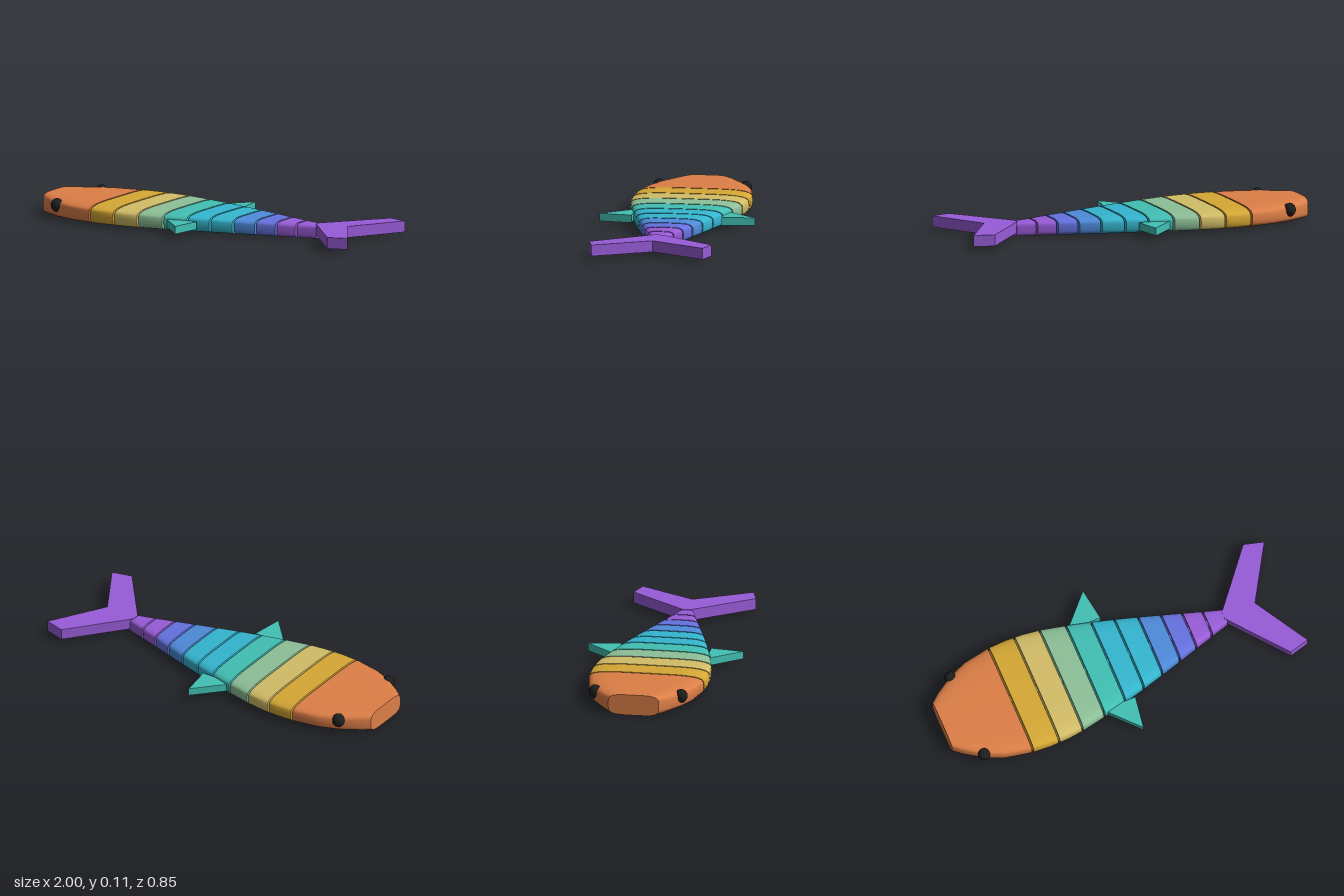
import * as THREE from 'three';
import { mergeGeometries } from 'three/addons/utils/BufferGeometryUtils.js';

const mat = (name, color) => {
  const m = new THREE.MeshStandardMaterial({ color });
  m.name = name;
  return m;
};

// Half width and top height of the body along x
const WIDTH = [[-1, 0.138], [-0.95, 0.18], [-0.85, 0.246], [-0.75, 0.287], [-0.605, 0.315], [-0.5, 0.321],
  [-0.4, 0.317], [-0.3, 0.304], [-0.17, 0.276], [-0.037, 0.243], [0.085, 0.21], [0.208, 0.174],
  [0.326, 0.138], [0.435, 0.104], [0.54, 0.071], [0.645, 0.038]];
const TOP = [[-1, 0.114], [-0.6, 0.112], [-0.3, 0.107], [0, 0.1], [0.3, 0.09], [0.645, 0.077]];

function sample(table, x) {
  let i = 0;
  while (i < table.length - 2 && x > table[i + 1][0]) i++;
  const [[x0, v0], [x1, v1]] = [table[i], table[i + 1]];
  return v0 + (v1 - v0) * (x - x0) / (x1 - x0);
}

// Soft-cornered cross-section of the body at x
const RING = 36;
function ring(x) {
  const w = sample(WIDTH, x), h = sample(TOP, x) / 2;
  const soft = (v) => Math.sign(v) * Math.abs(v) ** 0.47;
  return Array.from({ length: RING }, (_, j) => {
    const a = (j / RING) * Math.PI * 2;
    return [x, h + h * soft(Math.sin(a)), w * soft(Math.cos(a))];
  });
}

function indexed(points, index) {
  const g = new THREE.BufferGeometry();
  g.setAttribute('position', new THREE.Float32BufferAttribute(points.flat(), 3));
  g.setIndex(index);
  g.computeVertexNormals();
  return g;
}

// Smooth skin between two x positions, closed by sharp-edged flat caps
function segmentGeometry(x0, x1) {
  const xs = [x0, ...WIDTH.map((p) => p[0]).filter((x) => x > x0 + 0.02 && x < x1 - 0.02), x1];
  const skin = [], startCap = [], endCap = [];
  for (let j = 0; j < RING; j++) {
    const k = (j + 1) % RING;
    for (let i = 0; i < xs.length - 1; i++) {
      const a = i * RING, b = a + RING;
      skin.push(a + j, b + j, a + k, b + j, b + k, a + k);
    }
    startCap.push(RING, j, k);
    endCap.push(RING, k, j);
  }
  const centre = (x) => [x, sample(TOP, x) / 2, 0];
  return mergeGeometries([
    indexed(xs.flatMap(ring), skin),
    indexed([...ring(x0), centre(x0)], startCap),
    indexed([...ring(x1), centre(x1)], endCap),
  ]);
}

// Flat plate outlined in x and z, lying between two heights
function plate(points, y0, y1) {
  const shape = new THREE.Shape(points.map(([x, z]) => new THREE.Vector2(x, -z)));
  const g = new THREE.ExtrudeGeometry(shape, { depth: y1 - y0, bevelEnabled: false });
  return g.rotateX(-Math.PI / 2).translate(0, y0, 0);
}

export function createModel() {
  const group = new THREE.Group();
  group.name = 'jointedFish';
  const add = (name, geometry, material) => {
    const m = new THREE.Mesh(geometry, material);
    m.name = name;
    group.add(m);
    return m;
  };

  const orange = mat('orange', 0xdd7f47), gold = mat('gold', 0xd6a835), khaki = mat('khaki', 0xd3bd67);
  const green = mat('green', 0x8dc098), teal = mat('teal', 0x42c0b4), cyan = mat('cyan', 0x35b6d0);
  const blue = mat('blue', 0x4e8bda), indigo = mat('indigo', 0x6672e0), purple = mat('purple', 0x985cd8);
  const black = mat('black', 0x1e1e1e);

  // Head and body segments, with a small hinge bridging each gap
  const cuts = [-1, -0.603, -0.452, -0.31, -0.17, -0.037, 0.085, 0.208, 0.326, 0.435, 0.54, 0.645];
  const colours = [orange, gold, khaki, green, teal, cyan, cyan, blue, indigo, purple, purple];
  const gap = 0.005;
  colours.forEach((colour, i) => {
    const x0 = cuts[i] + (i ? gap : 0);
    const x1 = cuts[i + 1] - (i < colours.length - 1 ? gap : 0);
    add(i ? `bodySegment${i}` : 'head', segmentGeometry(x0, x1), colour);
    if (i) {
      const hinge = add(`hinge${i}`, new THREE.BoxGeometry(0.03, 0.045, 0.036), colour);
      hinge.position.set(cuts[i], sample(TOP, cuts[i]) / 2, 0);
    }
  });

  // Paired fins and eyes
  for (const [side, s] of [['front', 1], ['back', -1]]) {
    add(`${side}Fin`, plate([[-0.17, 0.245 * s], [0.022, 0.245 * s], [-0.005, 0.423 * s]], 0.028, 0.07), teal);
    const eye = add(`${side}Eye`, new THREE.SphereGeometry(0.034, 14, 10), black);
    eye.scale.y = 1.1;
    eye.position.set(-0.854, 0.077, 0.235 * s);
  }

  // Forked tail
  add('tailFin', plate([[0.635, 0.02], [0.89, 0.333], [1, 0.303], [0.82, 0],
    [1, -0.303], [0.89, -0.333], [0.635, -0.02]], 0.019, 0.08), purple);

  return group;
}
